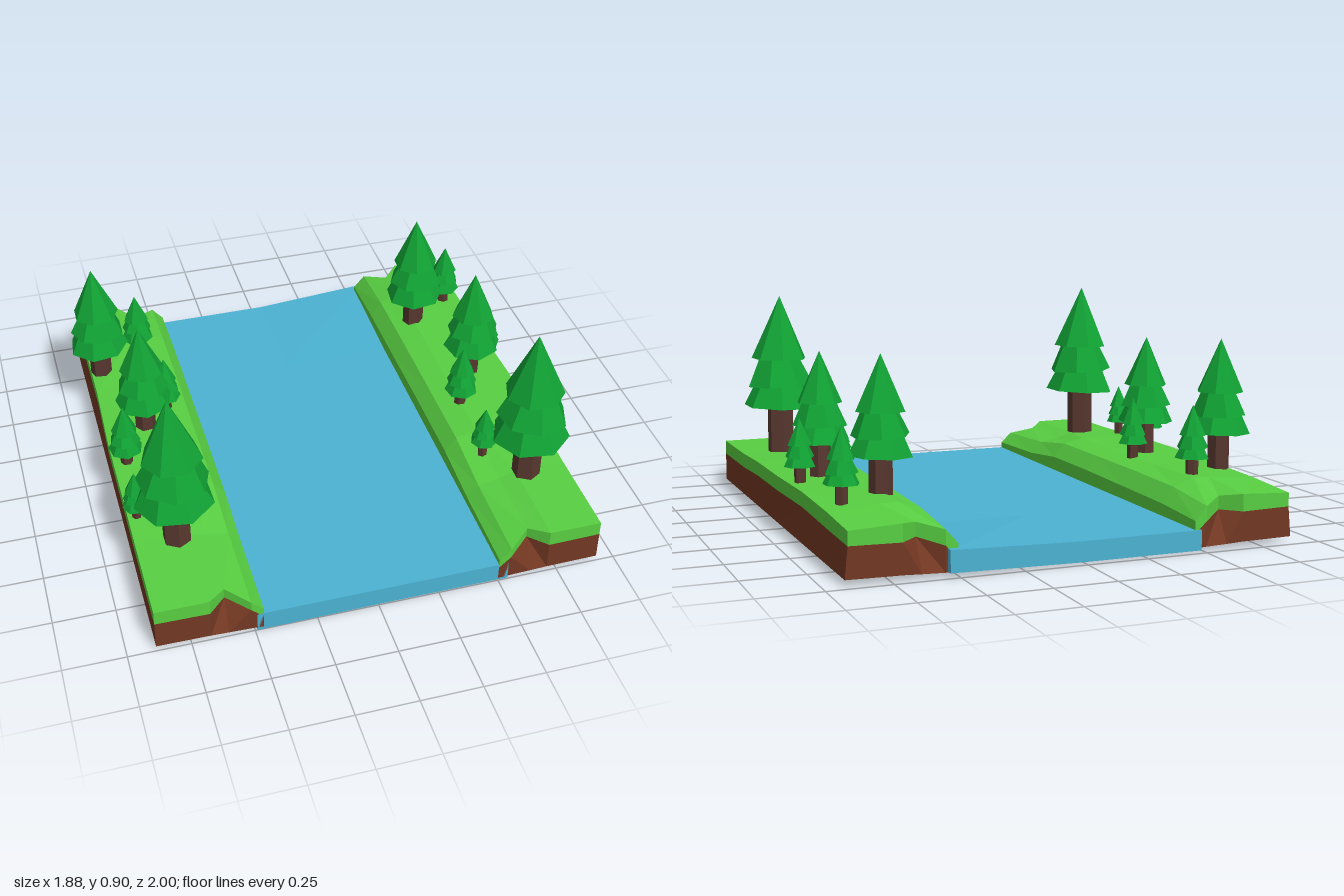
import * as THREE from 'three';

const mat = (name, color) => {
  const m = new THREE.MeshStandardMaterial({ color, flatShading: true });
  m.name = name;
  return m;
};

// Slab between rows of top and bottom points, lofted from front to back
function slab(stations, mirrored) {
  const pos = [];
  const tri = (a, b, c) => pos.push(...a, ...(mirrored ? c : b), ...(mirrored ? b : c));
  const quad = (a, b, c, d) => { tri(a, b, c); tri(a, c, d); };
  const rings = stations.map(s => [...s.top, ...[...s.bottom].reverse()]);
  const n = rings[0].length;
  for (let i = 0; i < rings.length - 1; i++) {
    for (let k = 0; k < n; k++) {
      const l = (k + 1) % n;
      quad(rings[i][k], rings[i][l], rings[i + 1][l], rings[i + 1][k]);
    }
  }
  const first = stations[0], last = stations[stations.length - 1];
  for (let j = 0; j < first.top.length - 1; j++) {
    quad(first.bottom[j], first.bottom[j + 1], first.top[j + 1], first.top[j]);
    quad(last.bottom[j + 1], last.bottom[j], last.top[j], last.top[j + 1]);
  }
  const g = new THREE.BufferGeometry();
  g.setAttribute('position', new THREE.Float32BufferAttribute(pos, 3));
  g.computeVertexNormals();
  return g;
}

// Distance of each bank column from the river axis, outer edge to inner edge
const AXIS = 0.0175;
const COLUMNS = [0.905, 0.69, 0.62, 0.53, 0.482];
// z, outer seam height, then the grass height at each column
const BANK = [
  [1.0, 0.145, 0.205, 0.205, 0.185, 0.155, 0.11],
  [0.62, 0.147, 0.208, 0.208, 0.185, 0.17, 0.12],
  [0.35, 0.158, 0.218, 0.222, 0.225, 0.205, 0.145],
  [0.0, 0.16, 0.22, 0.225, 0.225, 0.205, 0.145],
  [-0.35, 0.16, 0.22, 0.225, 0.225, 0.205, 0.14],
  [-0.7, 0.15, 0.213, 0.228, 0.23, 0.2, 0.135],
  [-0.97, 0.145, 0.2, 0.21, 0.195, 0.175, 0.12],
];
const SEAM_DROP = [0, 0.004, 0.004, 0.03, 0.075];

export function createModel() {
  const model = new THREE.Group();
  model.name = 'riverScene';
  const grass = mat('grass green', 0x58cf42);
  const dirt = mat('soil brown', 0x733822);
  const water = mat('water blue', 0x4bb2d2);
  const bark = mat('bark brown', 0x58382f);
  const leaf = mat('pine green', 0x11a234);

  const add = (parent, name, geometry, material) => {
    const mesh = new THREE.Mesh(geometry, material);
    mesh.name = name;
    parent.add(mesh);
    return mesh;
  };

  // River slab, with its back corner on the left pulled up and out
  const river = new THREE.BoxGeometry(1.03, 0.08, 1.975, 2, 1, 4);
  river.translate(0.025, 0.045, 0.0125);
  const p = river.attributes.position;
  for (let i = 0; i < p.count; i++) {
    const top = p.getY(i) > 0.05;
    if (p.getX(i) > 0.5 && p.getZ(i) < -0.9) {
      p.setZ(i, -1);
      p.setY(i, top ? 0.105 : 0.02);
    } else if (!top && p.getX(i) < -0.4 && p.getZ(i) > 0.9) {
      p.setY(i, 0);
    }
  }
  add(model, 'river', river, water);

  // Two mirrored banks: soil body under a grass layer, notched at both ends
  for (const side of [-1, 1]) {
    const bank = new THREE.Group();
    bank.name = side < 0 ? 'rightBank' : 'leftBank';
    model.add(bank);
    const grassStations = [], dirtStations = [];
    BANK.forEach(([z, seam, ...heights], i) => {
      const end = i === 0 || i === BANK.length - 1;
      const row = (yAt, notch, inset) => COLUMNS.map((u, j) => [
        AXIS + side * (u - (j === 0 ? inset : 0)),
        yAt(j),
        end && notch && j === 2 ? z - Math.sign(z) * 0.07 : z,
      ]);
      const inset = z < -0.3 ? 0.012 : 0;
      const top = row(j => heights[j], true, inset);
      const middle = row(j => seam - SEAM_DROP[j], true, inset);
      const base = row(j => 0.025 - 0.003 * j, false, 0);
      grassStations.push({ top, bottom: middle });
      dirtStations.push({ top: middle, bottom: base });
    });
    add(bank, 'grassLayer', slab(grassStations, side > 0), grass);
    add(bank, 'soilBody', slab(dirtStations, side > 0), dirt);
  }

  // Pine of height 0.7 before scaling: trunk and three overlapping tiers
  const trunk = new THREE.CylinderGeometry(0.058, 0.058, 0.28, 6).translate(0, 0.12, 0);
  const TIERS = [
    { y: 0.212, r: 0.16, h: 0.33, turn: 0.25, tilt: 0.04 },
    { y: 0.31, r: 0.145, h: 0.31, turn: 0.8, tilt: -0.04 },
    { y: 0.425, r: 0.122, h: 0.275, turn: 0.35, tilt: 0.02 },
  ].map(t => new THREE.ConeGeometry(t.r, t.h, 7)
    .rotateY(t.turn)
    .translate(0, t.h / 2, 0)
    .rotateZ(t.tilt)
    .translate(0, t.y, 0));

  // x, z, height of the trees on one bank; the other bank repeats them
  const TREES = [
    [-0.72, 0.63, 0.7], [-0.83, -0.5, 0.56], [-0.71, -0.07, 0.53],
    [-0.64, -0.62, 0.31], [-0.6, -0.17, 0.28], [-0.83, 0.14, 0.31], [-0.85, 0.47, 0.24],
  ];
  for (const shift of [0, 1.47]) {
    TREES.forEach(([x, z, height], i) => {
      const tree = new THREE.Group();
      tree.name = 'pineTree';
      add(tree, 'trunk', trunk, bark);
      TIERS.forEach(g => add(tree, 'foliageTier', g, leaf));
      tree.position.set(x + shift, 0.2, z);
      tree.rotation.y = i * 0.3;
      tree.scale.setScalar(height / 0.7);
      model.add(tree);
    });
  }
  return model;
}
